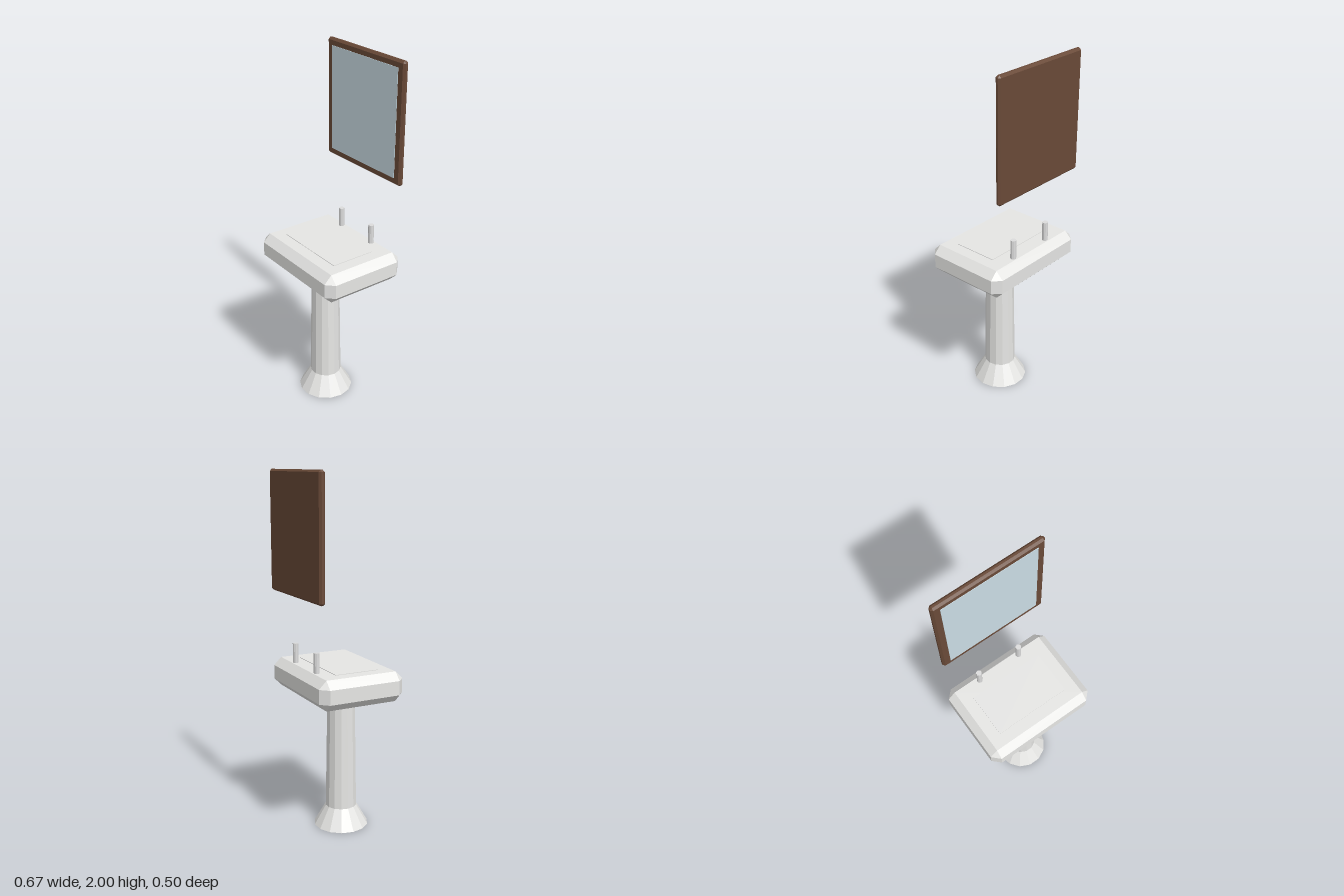
import * as THREE from 'three';
import { ConvexGeometry } from 'three/addons/geometries/ConvexGeometry.js';

const mat = (name, color) => {
  const m = new THREE.MeshStandardMaterial({ color, flatShading: true });
  m.name = name;
  return m;
};

// Box with every edge cut off by a flat chamfer b
function chamferBox(w, h, d, b) {
  const x = w / 2, y = h / 2, z = d / 2, points = [];
  for (const sx of [-1, 1]) for (const sy of [-1, 1]) for (const sz of [-1, 1]) {
    points.push(
      new THREE.Vector3(sx * x, sy * (y - b), sz * (z - b)),
      new THREE.Vector3(sx * (x - b), sy * y, sz * (z - b)),
      new THREE.Vector3(sx * (x - b), sy * (y - b), sz * z));
  }
  return new ConvexGeometry(points);
}

export function createModel() {
  const model = new THREE.Group();
  model.name = 'washstand';
  const ceramic = mat('white ceramic', 0xe6e6e4);
  const chrome = mat('chrome', 0xdcdcdc);
  const wood = mat('brown wood', 0x6a4a38);
  const glass = mat('mirror glass', 0xcadce4);

  const add = (name, geometry, material, x, y, z) => {
    const mesh = new THREE.Mesh(geometry, material);
    mesh.name = name;
    mesh.position.set(x, y, z);
    model.add(mesh);
    return mesh;
  };

  // Pedestal: flared foot and slightly tapered column, a facet facing front
  const foot = add('pedestalFoot', new THREE.CylinderGeometry(0.089, 0.155, 0.115, 14), ceramic, 0, 0.0575, 0.03);
  const column = add('pedestalColumn', new THREE.CylinderGeometry(0.078, 0.089, 0.675, 14), ceramic, 0, 0.4525, 0.03);
  foot.rotation.y = column.rotation.y = Math.PI / 2;

  // Basin with a shallow raised panel on top
  add('basin', chamferBox(0.666, 0.165, 0.498, 0.043), ceramic, 0, 0.8675, 0);
  add('basinPanel', new THREE.BoxGeometry(0.444, 0.006, 0.256), ceramic, 0, 0.95, 0.01);

  // Pair of upright taps
  for (const side of [-1, 1]) {
    add(side > 0 ? 'leftTap' : 'rightTap',
      new THREE.CylinderGeometry(0.016, 0.016, 0.115, 10), chrome, side * 0.133, 1.0025, -0.185);
  }

  // Mirror: chamfered wooden board with a thin glass plate
  add('mirrorFrame', chamferBox(0.622, 0.66, 0.033, 0.011), wood, 0, 1.67, -0.2335);
  add('mirrorGlass', new THREE.BoxGeometry(0.536, 0.586, 0.006), glass, 0, 1.67, -0.2175);
  return model;
}
